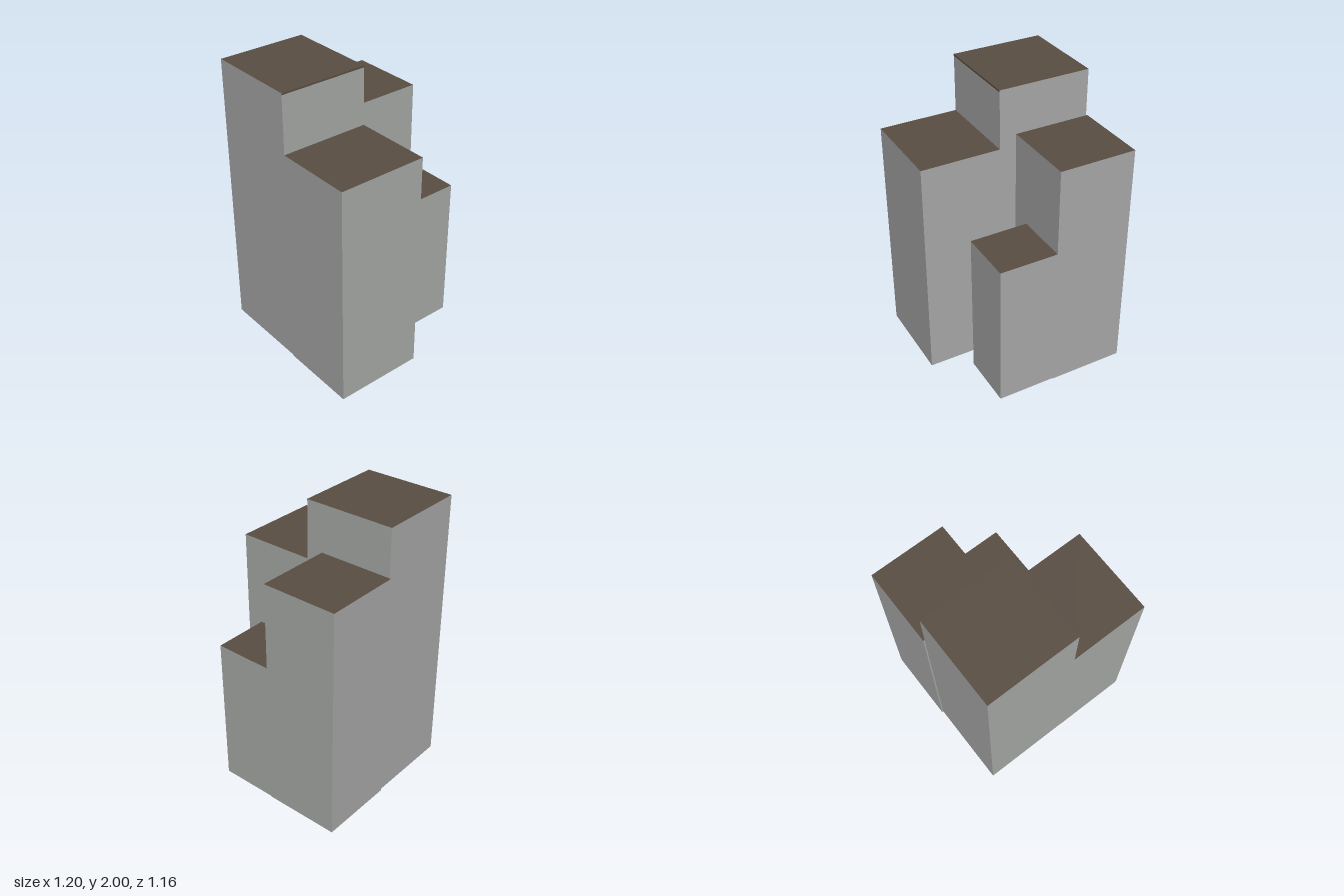
import * as THREE from 'three';

export function createModel() {
  const model = new THREE.Group();
  model.name = 'building';

  const wall = new THREE.MeshStandardMaterial({ color: 0xa6a8a6 });
  wall.name = 'wall grey';
  const roof = new THREE.MeshStandardMaterial({ color: 0x5a4e43 });
  roof.name = 'roof brown';
  const sides = [wall, wall, roof, roof, wall, wall]; // brown top and underside

  // Flat-roofed block given by its limits on each axis
  function block(name, [x0, x1], [y0, y1], [z0, z1], material = sides) {
    const mesh = new THREE.Mesh(new THREE.BoxGeometry(x1 - x0, y1 - y0, z1 - z0), material);
    mesh.position.set((x0 + x1) / 2, (y0 + y1) / 2, (z0 + z1) / 2);
    mesh.name = name;
    model.add(mesh);
  }

  // Front row: tall tower and the lower wing beside it
  block('frontTower', [-0.594, 0.05], [0.008, 2], [-0.046, 0.578]);
  block('frontWing', [0.05, 0.6], [0, 1.59], [-0.046, 0.578]);

  // Back row: middle-height tower and the low annex
  block('backTower', [-0.604, -0.068], [0.01, 1.67], [-0.58, -0.046]);
  block('backAnnex', [-0.068, 0.342], [0.015, 1.07], [-0.58, -0.188]);

  // Thin roof edge on the open side of the tall tower
  block('roofEdge', [0.05, 0.052], [1.988, 2], [-0.046, 0.578], roof);

  return model;
}
